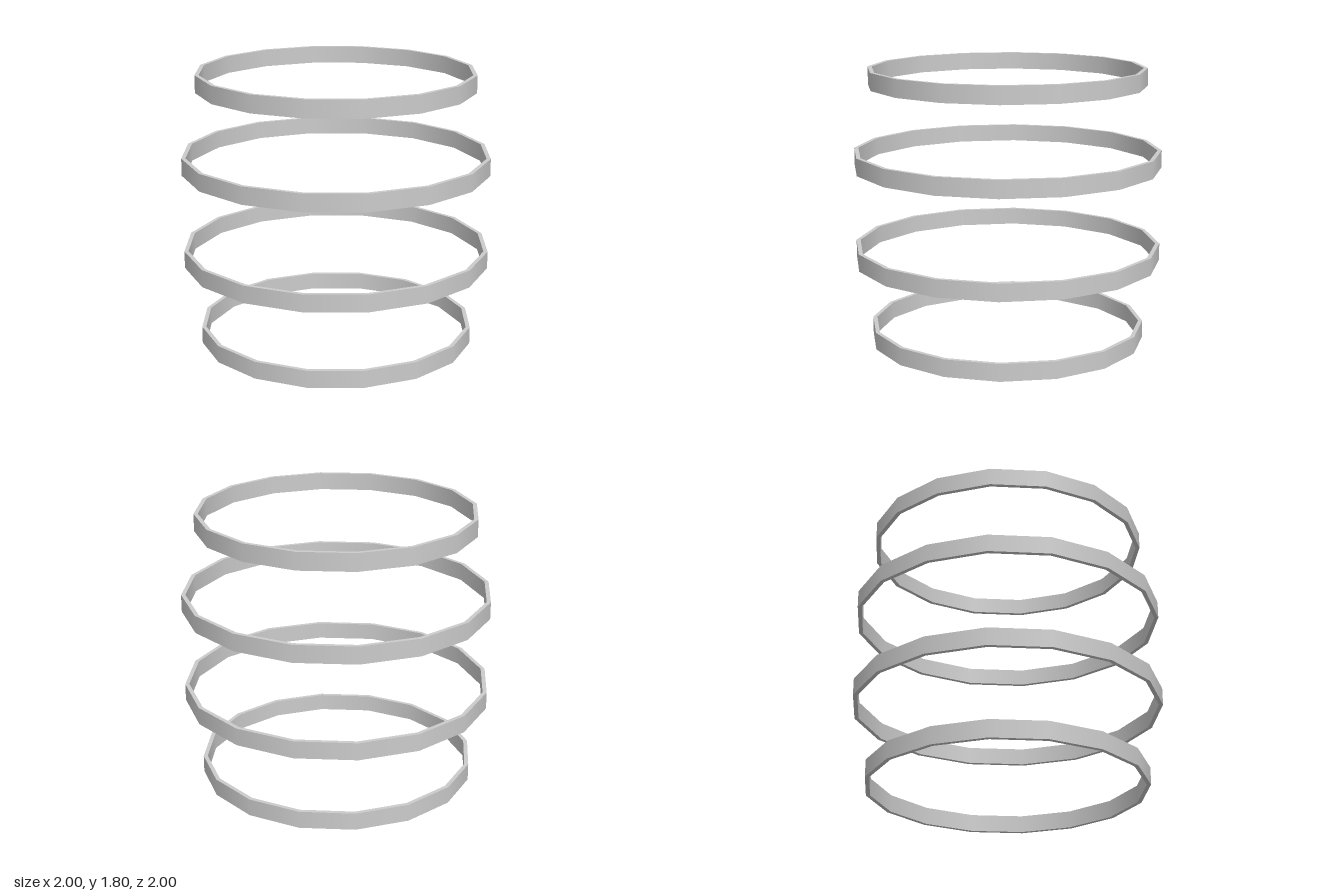
import * as THREE from 'three';

const SIDES = 16;
const THICKNESS = 0.027;
const HEIGHT = 0.113;

// A flat band with a rectangular section; each wall is smooth around, with sharp rims
function makeBand(name, radius, y, material) {
  const band = new THREE.Group();
  band.name = name;
  const inner = radius - THICKNESS;
  const section = [[radius, 0], [radius, HEIGHT], [inner, HEIGHT], [inner, 0]]
    .map(([r, h]) => new THREE.Vector2(r, h));
  ['outerWall', 'topRim', 'innerWall', 'bottomRim'].forEach((part, i) => {
    const geometry = new THREE.LatheGeometry([section[i], section[(i + 1) % 4]], SIDES);
    const mesh = new THREE.Mesh(geometry, material);
    mesh.name = part;
    band.add(mesh);
  });
  band.position.y = y;
  return band;
}

export function createModel() {
  const model = new THREE.Group();
  model.name = 'barrelHoops';
  const metal = new THREE.MeshStandardMaterial({ color: 0xcccccc });
  metal.name = 'light grey metal';

  // Narrow hoops at the ends, wide hoops around the middle
  model.add(
    makeBand('bottomHoop', 0.9, 0, metal),
    makeBand('lowerMiddleHoop', 1, 0.532, metal),
    makeBand('upperMiddleHoop', 1, 1.152, metal),
    makeBand('topHoop', 0.9, 1.684, metal),
  );
  return model;
}
